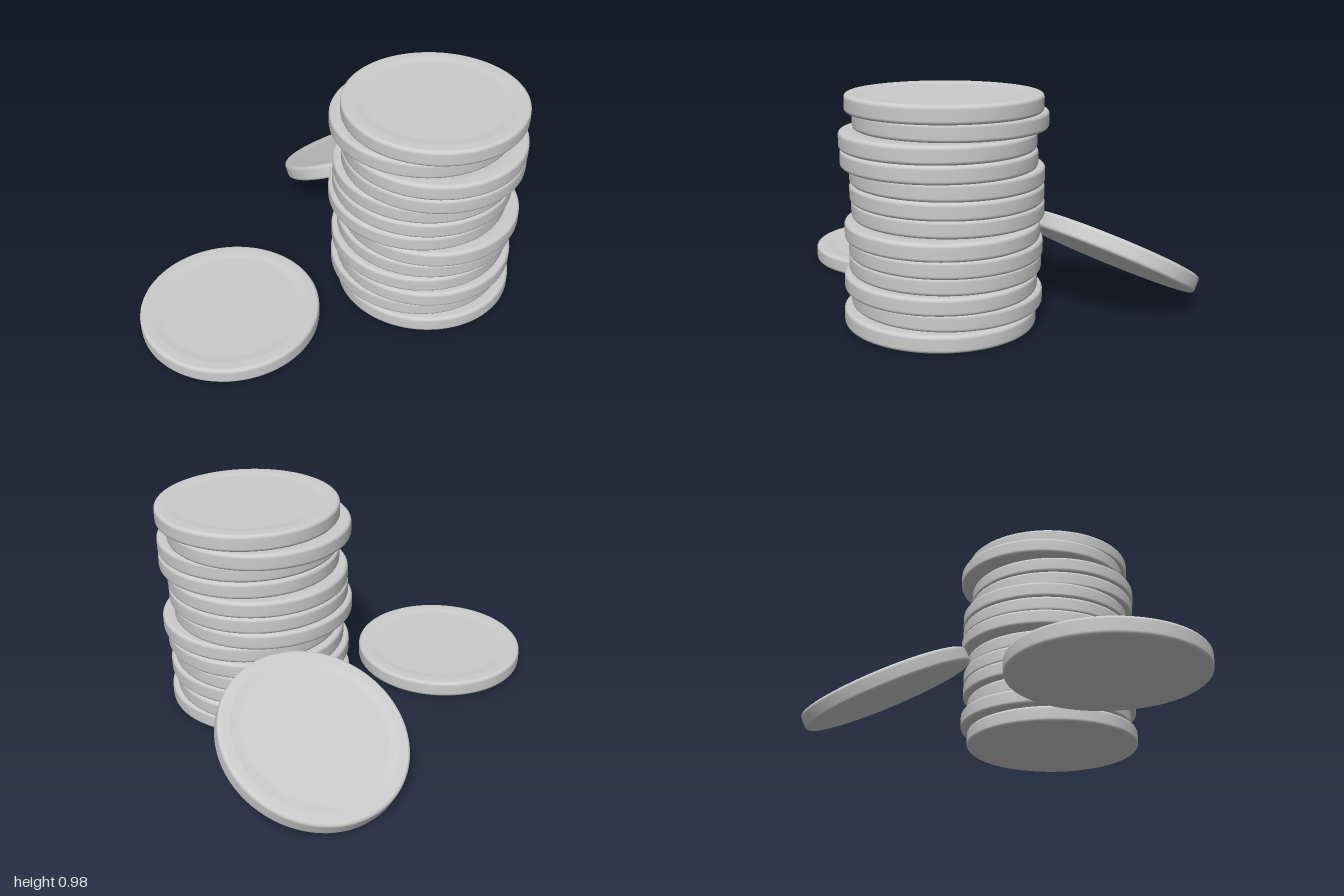
import * as THREE from 'three';

const R = 0.407, H = 0.075, ROUND = 0.016;

// Half profile of a chip: shallow dished face, flat rim, rounded edge
function chipGeometry() {
  const top = [];
  for (let i = 0; i <= 5; i++) {
    const a = (i / 5) * Math.PI / 2;
    top.push([R - ROUND + ROUND * Math.cos(a), H / 2 - ROUND + ROUND * Math.sin(a)]);
  }
  const face = H / 2 - 0.005;
  top.push([0.357, H / 2], [0.352, H / 2 - 0.001], [0.32, face], [0.314, face], [0, face]);
  const bottom = top.map(([r, y]) => [r, -y]).reverse();
  const points = [...bottom, ...top].map(([r, y]) => new THREE.Vector2(r, y));
  return new THREE.LatheGeometry(points, 80);
}

export function createModel() {
  const model = new THREE.Group();
  model.name = 'chipStack';
  const geometry = chipGeometry();
  const material = new THREE.MeshStandardMaterial({ color: 0xcccccc });

  const addChip = (name, parent, x, y, z) => {
    const chip = new THREE.Mesh(geometry, material);
    chip.name = name;
    chip.position.set(x, y, z);
    parent.add(chip);
    return chip;
  };

  // Uneven stack: x, z of each chip from the bottom up
  const stack = new THREE.Group();
  stack.name = 'stack';
  model.add(stack);
  [
    [0.327, -0.232], [0.285, -0.229], [0.321, -0.23], [0.292, -0.226], [0.308, -0.247],
    [0.331, -0.25], [0.274, -0.225], [0.29, -0.235], [0.29, -0.237], [0.339, -0.24],
    [0.343, -0.237], [0.27, -0.237], [0.322, -0.253],
  ].forEach(([x, z], i) => addChip(`stackChip${i + 1}`, stack, x, H * (i + 0.5), z));

  // Chip lying flat in front
  addChip('flatChip', model, -0.145, H / 2, 0.591);

  // Chip leaning against the stack
  const leaning = addChip('leaningChip', model, -0.383, 0.224, -0.593);
  leaning.rotation.set(-0.09, 0, THREE.MathUtils.degToRad(28));

  return model;
}
